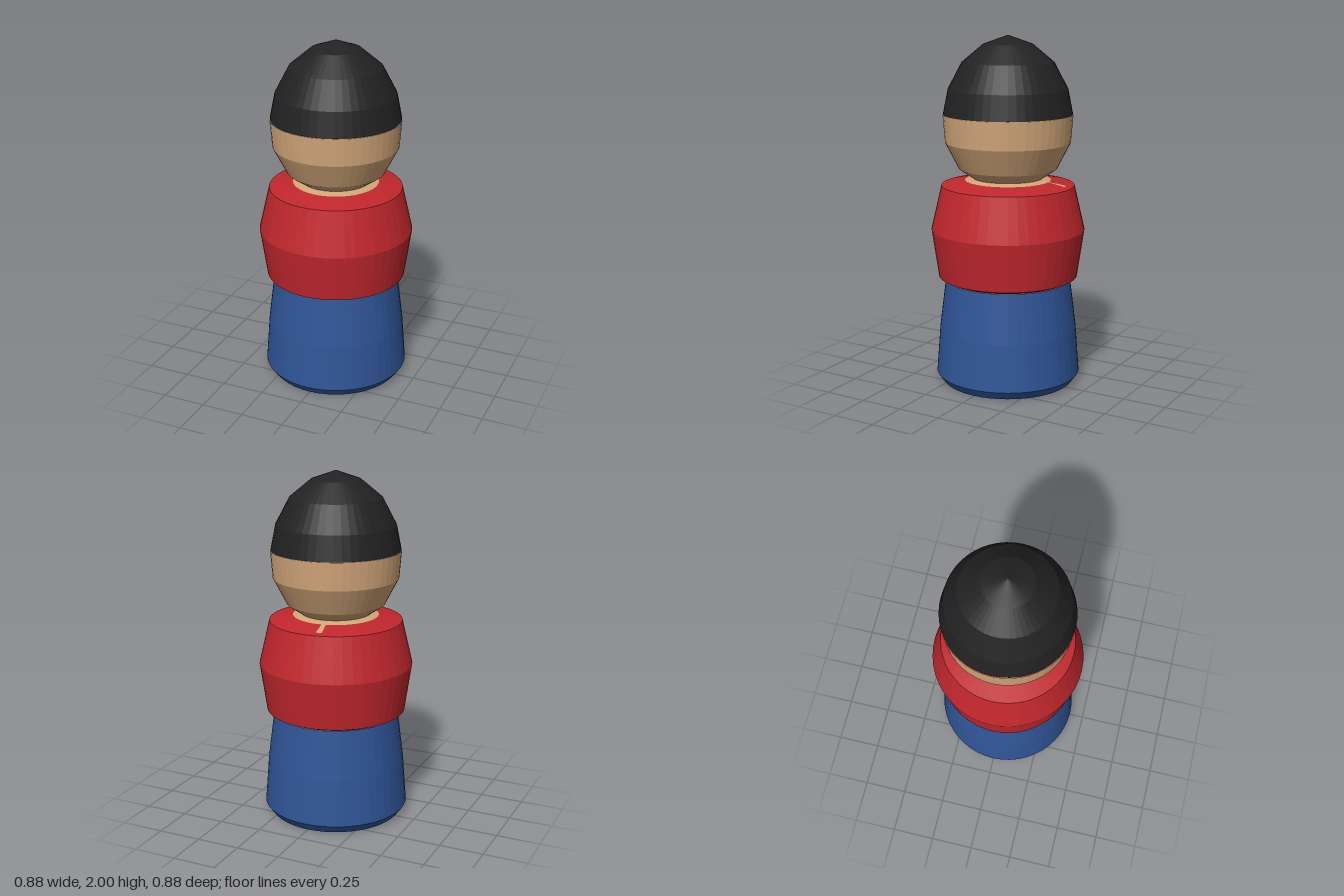
import * as THREE from 'three';

const SIDES = 48;

function material(name, color) {
  const m = new THREE.MeshStandardMaterial({ color, flatShading: true });
  m.name = name;
  return m;
}

// Turned part: profile of [radius, height] pairs from bottom to top
function turned(name, profile, mat, sides = SIDES, start = 0, sweep = Math.PI * 2) {
  const points = profile.map(([r, y]) => new THREE.Vector2(r, y));
  const mesh = new THREE.Mesh(new THREE.LatheGeometry(points, sides, start, sweep), mat);
  mesh.name = name;
  return mesh;
}

export function createModel() {
  const blue = material('trouser blue', 0x2f5597);
  const red = material('jacket red', 0xc1272d);
  const skin = material('skin tan', 0xd2a679);
  const black = material('cap black', 0x222222);

  const group = new THREE.Group();
  group.name = 'pegFigure';

  // Tapered lower body with a bevelled foot
  group.add(turned('lowerBody',
    [[0, 0], [0.38, 0], [0.417, 0.05], [0.396, 0.32], [0.36, 0.605]], blue));

  // Jacket, widest at the middle, with sloping shoulders
  group.add(turned('jacket',
    [[0.355, 0.605], [0.4, 0.625], [0.44, 0.9], [0.38, 1.155], [0.24, 1.184]], red));

  // Neck ring and the small slit at the back of the collar
  group.add(turned('neck', [[0.245, 1.183], [0.2, 1.195]], skin));
  group.add(turned('collarSlit', [[0.345, 1.164], [0.24, 1.186]], skin, 2, Math.PI + 0.11, 0.1));

  // Head
  group.add(turned('head',
    [[0.2, 1.195], [0.28, 1.25], [0.357, 1.4], [0.37, 1.56]], skin));

  // Cap
  group.add(turned('cap',
    [[0.367, 1.56], [0.339, 1.7], [0.26, 1.85], [0.14, 1.95], [0, 2]], black));

  return group;
}
